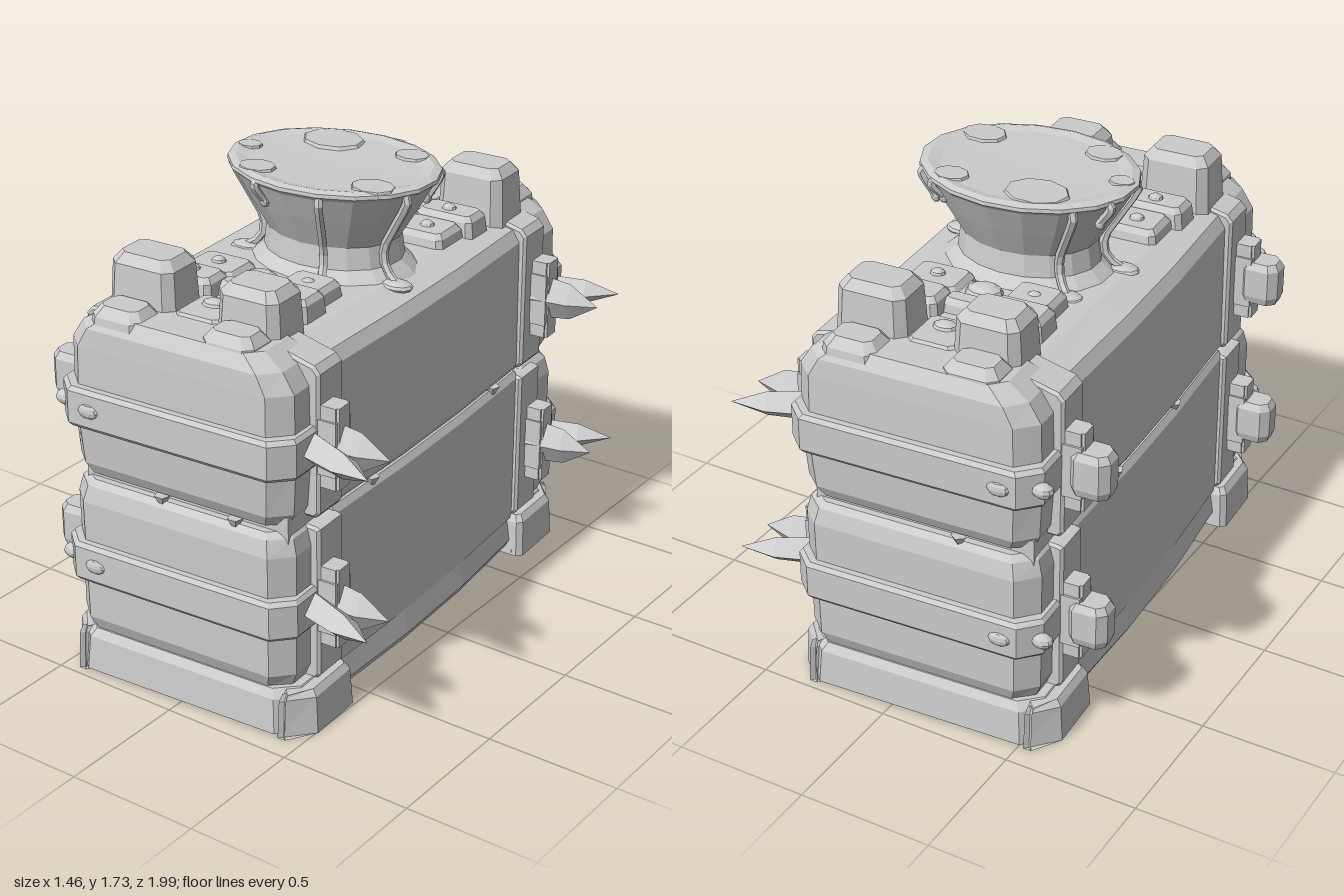
import * as THREE from 'three';

const stone = new THREE.MeshStandardMaterial({ color: 0xcccccc, flatShading: true });
stone.name = 'stone grey';

function add(parent, name, geo, x = 0, y = 0, z = 0) {
  const m = new THREE.Mesh(geo, stone);
  m.name = name;
  m.position.set(x, y, z);
  parent.add(m);
  return m;
}

// Octagonal plan between x0..x1 and z0..z1; cf / cb cut the front and back corners
function plan(x0, x1, z0, z1, cf, cb = cf) {
  return [[x1, z1 - cf], [x1, z0 + cb], [x1 - cb, z0], [x0 + cb, z0],
    [x0, z0 + cb], [x0, z1 - cf], [x0 + cf, z1], [x1 - cf, z1]];
}

// Plan of the long middle: sides bulge gently toward the centre
function bulged(end, mid) {
  return [[end, 0.64], [mid, 0.2], [mid, -0.2], [end, -0.64], [-end, -0.64], [-mid, -0.2], [-mid, 0.2], [-end, 0.64]];
}

// Stacks a plan at levels [y, x inset, z inset], pulling each point toward the plan's middle
function loft(pts, levels) {
  const xs = pts.map(p => p[0]), zs = pts.map(p => p[1]);
  const x0 = Math.min(...xs), x1 = Math.max(...xs), z0 = Math.min(...zs), z1 = Math.max(...zs);
  const cx = (x0 + x1) / 2, cz = (z0 + z1) / 2;
  const n = pts.length, pos = [], idx = [];
  for (const [y, ix, iz = ix] of levels) {
    const sx = 1 - 2 * ix / (x1 - x0), sz = 1 - 2 * iz / (z1 - z0);
    for (const [x, z] of pts) pos.push(cx + (x - cx) * sx, y, cz + (z - cz) * sz);
  }
  const last = (levels.length - 1) * n;
  for (let r = 0; r < last; r += n) {
    for (let j = 0; j < n; j++) {
      const k = (j + 1) % n;
      idx.push(r + j, r + k, r + n + k, r + j, r + n + k, r + n + j);
    }
  }
  for (let j = 1; j < n - 1; j++) {
    idx.push(0, j + 1, j, last, last + j, last + j + 1);
  }
  const g = new THREE.BufferGeometry();
  g.setAttribute('position', new THREE.Float32BufferAttribute(pos, 3));
  g.setIndex(idx);
  const flat = g.toNonIndexed();
  flat.computeVertexNormals();
  return flat;
}

// Chamfered block with slightly tapering sides
function block(x0, x1, z0, z1, y0, y1, c = 0.02, taper = 0.01) {
  return loft(plan(x0, x1, z0, z1, c), [[y0, 0], [y1 - c, taper], [y1, taper + c * 0.8]]);
}

function stud(parent, name, x, y, z, rx, ry, rz) {
  add(parent, name, new THREE.SphereGeometry(1, 10, 6), x, y, z).scale.set(rx, ry, rz);
}

// Strap round one end of the body, with spikes on one side and a peg on the other
function strap(y, side) {
  const g = new THREE.Group();
  g.name = 'strap';
  g.position.y = y;
  add(g, 'strapBand', loft(plan(-0.485, 0.465, 0.68, 0.968, 0.07, 0.01),
    [[-0.075, 0.012], [-0.06, 0], [0.06, 0], [0.075, 0.012]]));
  stud(g, 'strapStud', -0.33 * side, 0, 0.967, 0.042, 0.026, 0.015);
  stud(g, 'strapStud', -0.465 * side, 0, 0.91, 0.04, 0.028, 0.03);
  for (const s of [-1, 1]) {
    add(g, 'buckleBar', new THREE.BoxGeometry(0.1, 0.3, 0.065), s * 0.49, 0, 0.725);
    add(g, 'buckleRim', new THREE.BoxGeometry(0.09, 0.2, 0.095), s * 0.49, 0, 0.725);
    for (const e of [-1, 1])
      add(g, 'buckleEnd', new THREE.BoxGeometry(0.09, 0.05, 0.08), s * 0.485, e * 0.125, 0.725);
  }
  // Blunt peg
  const peg = loft(plan(-0.075, 0.075, -0.06, 0.06, 0.03), [[-0.08, 0.01], [-0.05, 0], [0.06, 0], [0.085, 0.015]]);
  add(g, 'peg', peg, -0.56 * side, 0, 0.73);
  // Spikes: diamond section narrowing to a point, built upright and laid outward
  for (const [name, w, h, len, x, z, turn] of [
    ['spike', 0.05, 0.09, 0.27, 0.45, 0.72, 0.05], ['tongueSpike', 0.065, 0.06, 0.31, 0.44, 0.78, 0.36]]) {
    const geo = loft([[h, 0], [0, -w], [-h, 0], [0, w]],
      [[0, 0], [len * 0.6, h * 0.22, w * 0.15], [len, h * 0.98, w * 0.98]]);
    const holder = new THREE.Group();
    holder.name = name + 'Mount';
    holder.position.set(side * x, 0, z);
    holder.rotation.y = side > 0 ? -turn : Math.PI + turn;
    add(holder, name, geo).rotation.z = -Math.PI / 2;
    g.add(holder);
  }
  return g;
}

// Everything at one end; side tells which local side carries the spikes
function bodyEnd(side) {
  const g = new THREE.Group();
  g.name = 'bodyEnd';
  // Foot with heavier corners
  add(g, 'foot', loft(plan(-0.48, 0.475, 0.6, 0.945, 0.08, 0.01), [[0.01, 0], [0.14, 0.01], [0.17, 0.03]]));
  for (const s of [-1, 1]) {
    add(g, 'footCorner', loft(plan(s * 0.425 - 0.085, s * 0.425 + 0.085, 0.6, 0.945, 0.1, 0.02),
      [[0, 0], [0.14, 0.008], [0.165, 0.025]]));
  }
  // Two tiers with bevelled seams and a narrow rib behind each
  const tiers = [
    [0.16, 0.76, 0.015, [[0.16, 0.03], [0.22, 0.005], [0.68, 0], [0.74, 0.015], [0.76, 0.035]]],
    [0.785, 1.38, 0.065, [[0.785, 0.035], [0.83, 0.012], [1.0, 0], [1.27, 0.005], [1.34, 0.05, 0.01], [1.39, 0.13, 0.04]]]];
  for (const [y0, y1, top, levels] of tiers) {
    add(g, 'endTier', loft(plan(-0.465, 0.44, 0.66, 0.935, 0.07, 0.01), levels));
    const rib = new THREE.Shape([[-0.455, y0], [0.455, y0], [0.472, y0 + 0.02], [0.472, y1 - top], [0.45, y1 - top * 0.6],
      [0.3, y1], [-0.3, y1], [-0.45, y1 - top * 0.6], [-0.472, y1 - top], [-0.472, y0 + 0.02]]
      .map(p => new THREE.Vector2(...p)));
    add(g, 'rib', new THREE.ExtrudeGeometry(rib, { depth: 0.13, bevelThickness: 0.01, bevelSize: 0.01, bevelOffset: -0.01, bevelSegments: 1 }), 0, 0, 0.635);
  }
  g.add(strap(0.455, side), strap(1.055, side));
  // Raised blocks on top
  for (const b of [
    [-0.39, -0.11, 0.565, 0.78, 1.56], [0.05, 0.31, 0.565, 0.78, 1.545],
    [-0.37, -0.14, 0.74, 0.925, 1.42], [0.07, 0.3, 0.73, 0.91, 1.43]]) {
    add(g, 'topBlock', block(b[0], b[1], b[2], b[3], 1.28, b[4], 0.035, 0.014));
  }
  // Low plates between the blocks and the funnel
  for (const p of [
    [-0.33, -0.1, 0.25, 0.44, 1.41], [0.05, 0.25, 0.25, 0.43, 1.42],
    [-0.36, -0.11, 0.41, 0.56, 1.43], [0.04, 0.28, 0.4, 0.56, 1.44],
    [-0.16, 0.1, 0.28, 0.46, 1.39], [-0.14, 0.08, 0.4, 0.5, 1.41], [-0.13, 0.08, 0.56, 0.78, 1.4]]) {
    add(g, 'topPlate', block(p[0], p[1], p[2], p[3], 1.32, p[4]));
  }
  stud(g, 'topStud', -0.03, 1.39, 0.36, 0.07, 0.035, 0.055);
  stud(g, 'topStud', -0.03, 1.4, 0.64, 0.045, 0.02, 0.035);
  for (const [x, z] of [[-0.22, 0.34], [0.15, 0.34], [-0.23, 0.48], [0.16, 0.47]])
    stud(g, 'plateStud', x, z > 0.4 ? 1.43 : 1.41, z, 0.028, 0.018, 0.024);
  return g;
}

export function createModel() {
  const model = new THREE.Group();
  model.name = 'strappedChest';
  const body = new THREE.Group();
  body.name = 'body';
  body.position.x = -0.055;
  body.rotation.y = 0.06;
  model.add(body);

  // Middle of the body: base strip, lower panel, upper panel with sloped top edge
  add(body, 'baseMiddle', loft(bulged(0.455, 0.48), [[0.025, 0.02, 0], [0.06, 0, 0], [0.165, 0.02, 0]]));
  add(body, 'lowerPanel', loft(bulged(0.45, 0.465), [[0.15, 0], [0.74, 0], [0.765, 0.015, 0]]));
  add(body, 'upperPanel', loft(bulged(0.45, 0.465),
    [[0.775, 0.015, 0], [0.8, 0], [1.29, 0.005, 0], [1.335, 0.035, 0], [1.36, 0.15, 0]]));
  add(body, 'seamCore', new THREE.BoxGeometry(0.83, 0.1, 1.75), 0, 0.77, 0);

  // Small chips along the seam
  for (const [x, z] of [[0.445, 0.4], [0.445, -0.45], [-0.445, 0.2], [-0.445, -0.3], [-0.08, 0.9], [0.22, 0.9], [-0.15, -0.9]]) {
    add(body, 'seamChip', new THREE.ConeGeometry(0.03, 0.05, 5), x, 0.755, z).rotation.x = Math.PI;
  }

  // Both ends; spikes stay on the same side of the body
  const front = bodyEnd(1);
  const back = bodyEnd(-1);
  back.rotation.y = Math.PI;
  body.add(front, back);

  // Oval funnel
  const funnel = new THREE.Group();
  funnel.name = 'funnel';
  funnel.position.set(-0.025, 0, -0.015);
  funnel.scale.x = 1.26;
  model.add(funnel);
  const profile = [[0, 1.3], [0.27, 1.335], [0.24, 1.37], [0.212, 1.4], [0.203, 1.48], [0.258, 1.59], [0.305, 1.69], [0.32, 1.705],
    [0.318, 1.718], [0.295, 1.726], [0.26, 1.718], [0, 1.712]];
  add(funnel, 'funnelBowl', new THREE.LatheGeometry(profile.map(p => new THREE.Vector2(...p)), 18));

  // Hardened spill: patches on the rim, drips down the sides, puddles at the foot
  for (const [a, r, s] of [[2.1, 0.2, 0.1], [0.9, 0.25, 0.055], [5.7, 0.25, 0.07], [4.1, 0.25, 0.06], [3.3, 0.27, 0.04]]) {
    add(funnel, 'spillPatch', new THREE.CylinderGeometry(s * 0.9, s, 0.02, 9), Math.cos(a) * r, 1.717, -Math.sin(a) * r);
  }
  for (const [a, foot] of [[-0.3, 1.36], [2.4, 1.36], [3.5, 1.36], [-1.2, 1.36], [0.6, 1.6], [0.9, 1.64], [2.8, 1.62], [4.4, 1.63]]) {
    const at = (r, y) => new THREE.Vector3(Math.cos(a) * r, y, -Math.sin(a) * r);
    const path = foot > 1.5 ? [at(0.3, 1.71), at(0.315, 1.695), at(0.275, foot)]
      : [at(0.3, 1.71), at(0.312, 1.69), at(0.255, 1.56), at(0.215, 1.47), at(0.225, 1.4), at(0.27, foot)];
    add(funnel, 'drip', new THREE.TubeGeometry(new THREE.CatmullRomCurve3(path), 10, 0.014, 6));
    const end = path[path.length - 1];
    if (foot > 1.5) stud(funnel, 'dripEnd', end.x, end.y, end.z, 0.016, 0.025, 0.016);
    else stud(funnel, 'puddle', end.x, end.y - 0.005, end.z, 0.05, 0.02, 0.045);
  }
  return model;
}
